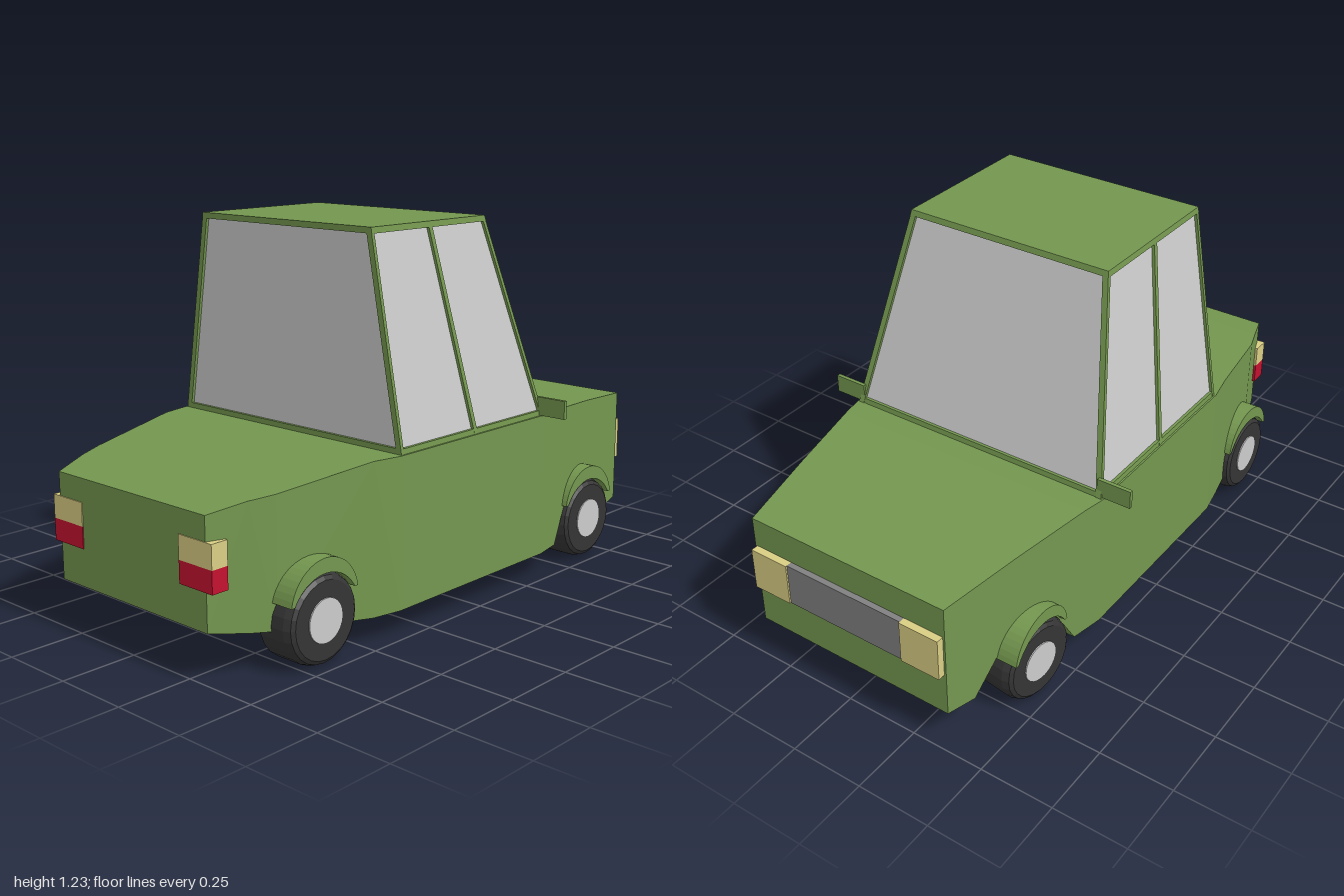
import * as THREE from 'three';

const mat = (color) => new THREE.MeshStandardMaterial({ color, flatShading: true });

export function createModel() {
  const car = new THREE.Group();
  car.name = 'car';
  const green = mat(0x74974f);
  const grey = mat(0xcccccc);
  const dark = mat(0x808080);
  const cream = mat(0xdace84);
  const red = mat(0xc4122f);
  const rubber = mat(0x353535);

  const add = (name, geometry, material, parent = car) => {
    const mesh = new THREE.Mesh(geometry, material);
    mesh.name = name;
    parent.add(mesh);
    return mesh;
  };
  // Box between two corners
  const box = (name, material, x0, x1, y0, y1, z0, z1) => {
    const g = new THREE.BoxGeometry(x1 - x0, y1 - y0, z1 - z0);
    g.translate((x0 + x1) / 2, (y0 + y1) / 2, (z0 + z1) / 2);
    return add(name, g, material);
  };
  // Tapered block: rectangles [x0, x1, z0, z1] at heights y0 and y1
  const taper = (name, material, y0, low, y1, high) => {
    const g = new THREE.BoxGeometry(1, 1, 1);
    const p = g.attributes.position;
    for (let i = 0; i < p.count; i++) {
      const up = p.getY(i) > 0;
      const r = up ? high : low;
      p.setXYZ(i, p.getX(i) > 0 ? r[1] : r[0], up ? y1 : y0, p.getZ(i) > 0 ? r[3] : r[2]);
    }
    g.computeVertexNormals();
    return add(name, g, material);
  };

  // Body: side outlines extruded across, narrowed towards both ends
  const plan = [[-1, 0.33], [-0.8, 0.4], [-0.37, 0.485], [0.345, 0.485], [0.975, 0.365]];
  const halfWidth = (x) => {
    let i = 0;
    while (i < plan.length - 2 && x > plan[i + 1][0]) i++;
    const [[xa, wa], [xb, wb]] = [plan[i], plan[i + 1]];
    return wa + ((wb - wa) * (x - xa)) / (xb - xa);
  };
  const bodyPart = (name, outline) => {
    const shape = new THREE.Shape(outline.map(([x, y]) => new THREE.Vector2(x, y)));
    const g = new THREE.ExtrudeGeometry(shape, { depth: 1, bevelEnabled: false });
    const p = g.attributes.position;
    for (let i = 0; i < p.count; i++) p.setZ(i, (p.getZ(i) - 0.5) * 2 * halfWidth(p.getX(i)));
    g.computeVertexNormals();
    add(name, g, green);
  };
  bodyPart('tail', [[-1, 0.16], [-0.88, 0.138], [-0.8, 0.128], [-0.8, 0.53], [-0.88, 0.522], [-1, 0.5]]);
  bodyPart('rearBody', [[-0.8, 0.128], [-0.47, 0.09], [-0.37, 0.09], [-0.37, 0.57], [-0.47, 0.57], [-0.8, 0.53]]);
  bodyPart('midBody', [[-0.37, 0.09], [0.345, 0.09], [0.345, 0.57], [-0.37, 0.57]]);
  bodyPart('hood', [[0.345, 0.09], [0.455, 0.09], [0.56, 0.27], [0.74, 0.27], [0.87, 0.118],
    [0.975, 0.13], [0.975, 0.527], [0.7, 0.552], [0.42, 0.57], [0.345, 0.57]]);
  // Sloping inner walls of the front wheel wells
  taper('frontUnderside', green, 0.11, [0.45, 0.88, -0.27, 0.27], 0.28, [0.45, 0.88, -0.38, 0.38]);

  // Cabin: glass core, corner pillars, door pillars, sill and roof
  const y0 = 0.57, y1 = 1.22;
  const base = { rear: -0.365, front: 0.345, side: 0.48 };
  const top = { rear: -0.375, front: 0.16, side: 0.368 };
  const inset = 0.01;
  const core = (r) => [r.rear + inset, r.front - inset, -r.side + inset, r.side - inset];
  taper('windows', grey, y0, core(base), y1, core(top));
  taper('sill', green, y0 - 0.01, [-0.365, 0.345, -0.48, 0.48], 0.587, [-0.365, 0.34, -0.477, 0.477]);
  taper('roof', green, 1.213, [-0.375, 0.162, -0.37, 0.37], 1.232, [-0.375, 0.157, -0.367, 0.367]);
  for (const s of [1, -1]) {
    const side = s > 0 ? 'Left' : 'Right';
    const strip = (xa, xb, z, d) => (s > 0 ? [xa, xb, z - d, z] : [xa, xb, -z, -z + d]);
    taper('frontPillar' + side, green, y0, strip(base.front - 0.013, base.front, base.side, 0.02),
      y1, strip(top.front - 0.013, top.front, top.side, 0.02));
    taper('rearPillar' + side, green, y0, strip(base.rear, base.rear + 0.012, base.side, 0.02),
      y1, strip(top.rear, top.rear + 0.012, top.side, 0.02));
    taper('doorPillar' + side, green, y0, strip(-0.018, -0.002, base.side, 0.03),
      y1, strip(-0.118, -0.102, top.side, 0.03));

    // Mirrors and lamps
    const span = (a, b) => (s > 0 ? [a, b] : [-b, -a]);
    box('mirror' + side, green, 0.325, 0.338, 0.572, 0.633, ...span(0.46, 0.577));
    box('headlight' + side, cream, 0.96, 1, 0.28, 0.425, ...span(0.218, 0.358));
    box('tailLampUpper' + side, cream, -1.003, -0.945, 0.35, 0.425, ...span(0.22, 0.358));
    box('tailLampLower' + side, red, -1.003, -0.945, 0.28, 0.35, ...span(0.22, 0.358));
  }
  box('grille', dark, 0.96, 0.995, 0.28, 0.425, -0.218, 0.218);

  // Wheel profile: [radius, distance along axle], and crescent arch
  const tyreProfile = [[0, -0.07], [0.13, -0.07], [0.14, -0.06], [0.14, 0.035],
    [0.132, 0.058], [0.12, 0.066], [0, 0.066]].map(([r, h]) => new THREE.Vector2(r, h));
  const arch = new THREE.Shape();
  arch.absarc(0, 0.195, 0.137, 0.15, Math.PI - 0.15, false);
  arch.absarc(0, 0.145, 0.141, Math.PI - 0.53, 0.53, true);
  for (const [end, x] of [['front', 0.645], ['rear', -0.68]]) {
    for (const s of [1, -1]) {
      const side = s > 0 ? 'Left' : 'Right';
      const wheel = new THREE.Group();
      wheel.name = end + 'Wheel' + side;
      const tyre = new THREE.LatheGeometry(tyreProfile, 24);
      tyre.rotateX(Math.PI / 2);
      add('tyre', tyre, rubber, wheel);
      const hub = new THREE.CylinderGeometry(0.068, 0.068, 0.02, 24);
      hub.rotateX(Math.PI / 2);
      hub.translate(0, 0, 0.06);
      add('hub', hub, grey, wheel);
      wheel.position.set(x, 0.145, s * 0.405);
      wheel.rotation.y = s > 0 ? 0 : Math.PI;
      // One front wheel is turned slightly
      if (end === 'front' && s < 0) wheel.rotation.y -= 0.13;
      car.add(wheel);

      const archGeometry = new THREE.ExtrudeGeometry(arch, { depth: 0.13, bevelEnabled: false, curveSegments: 10 });
      const guard = add(end + 'Arch' + side, archGeometry, green);
      guard.position.set(x, 0, s > 0 ? 0.342 : -0.472);
    }
  }
  return car;
}
